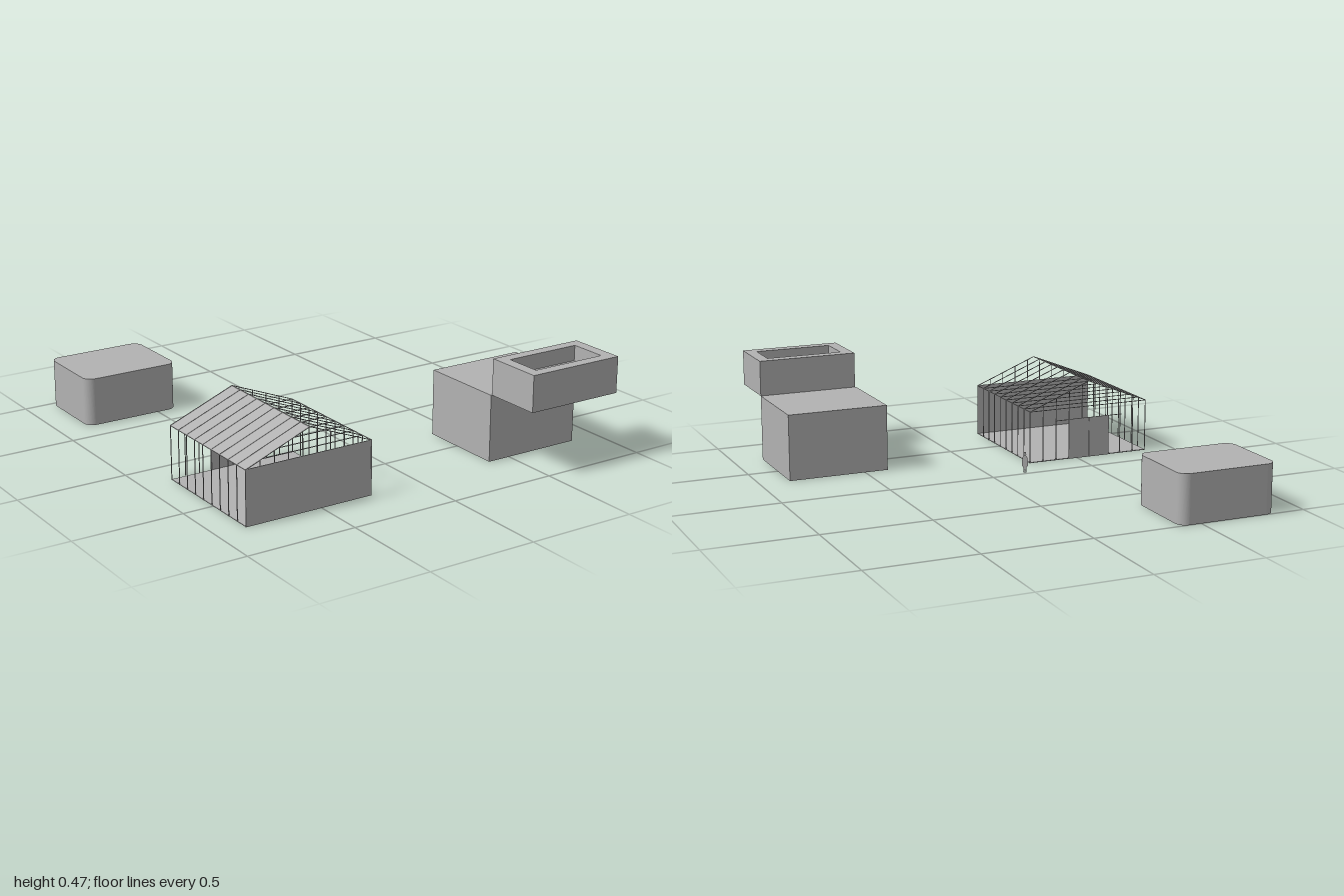
import * as THREE from 'three';

const grey = new THREE.MeshStandardMaterial({ color: 0xb2b2b2 });
const greySheet = new THREE.MeshStandardMaterial({ color: 0xb2b2b2, side: THREE.DoubleSide });
greySheet.name = 'grey sheet';
grey.name = 'grey';

function add(parent, name, geometry, material = grey) {
  const mesh = new THREE.Mesh(geometry, material);
  mesh.name = name;
  parent.add(mesh);
  return mesh;
}

// Box given by its lower and upper bounds
function block(parent, name, [x0, y0, z0], [x1, y1, z1]) {
  const mesh = add(parent, name, new THREE.BoxGeometry(x1 - x0, y1 - y0, z1 - z0));
  mesh.position.set((x0 + x1) / 2, (y0 + y1) / 2, (z0 + z1) / 2);
  return mesh;
}

// Thin square bar between two points
function bar(parent, name, a, b, t = 0.003) {
  const from = new THREE.Vector3(...a), to = new THREE.Vector3(...b);
  const mesh = add(parent, name, new THREE.BoxGeometry(t, t, from.distanceTo(to)));
  mesh.position.copy(from).add(to).multiplyScalar(0.5);
  mesh.lookAt(to);
  return mesh;
}

// Rectangle with optional corner radius, drawn on the XY plane
function rectangle(w, d, r = 0, Kind = THREE.Shape) {
  const s = new Kind(), x = w / 2, y = d / 2;
  s.moveTo(-x + r, -y).lineTo(x - r, -y);
  if (r) s.absarc(x - r, -y + r, r, -Math.PI / 2, 0);
  s.lineTo(x, y - r);
  if (r) s.absarc(x - r, y - r, r, 0, Math.PI / 2);
  s.lineTo(-x + r, y);
  if (r) s.absarc(-x + r, y - r, r, Math.PI / 2, Math.PI);
  s.lineTo(-x, -y + r);
  if (r) s.absarc(-x + r, -y + r, r, Math.PI, Math.PI * 1.5);
  return s;
}

function prism(shape, height) {
  return new THREE.ExtrudeGeometry(shape, { depth: height, bevelEnabled: false, curveSegments: 10 })
    .rotateX(-Math.PI / 2);
}

function framedHouse() {
  const house = new THREE.Group();
  house.name = 'framedHouse';
  const x0 = -0.86, x1 = -0.255, z0 = 0.155, z1 = 0.76, eave = 0.245, ridge = 0.365;
  const mid = (x0 + x1) / 2, bays = 9;
  const roofY = x => ridge - (ridge - eave) * Math.abs(x - mid) / (x1 - mid);

  block(house, 'floor', [x0, 0, z0], [x1, 0.003, z1]);
  block(house, 'frontWall', [x0, 0, z1 - 0.003], [x1, eave, z1]);

  // Covered roof slope
  const slope = new THREE.PlaneGeometry(Math.hypot(mid - x0, ridge - eave), z1 - z0).rotateX(-Math.PI / 2);
  const roof = add(house, 'roofSlope', slope, greySheet);
  roof.position.set((x0 + mid) / 2, (eave + ridge) / 2, (z0 + z1) / 2);
  roof.rotation.z = Math.atan2(ridge - eave, mid - x0);

  // Repeating frames along the depth
  for (let i = 0; i <= bays; i++) {
    const z = z0 + (z1 - z0) * i / bays;
    for (const x of [x0, x1]) {
      bar(house, 'sidePost', [x, 0, z], [x, eave, z]);
      bar(house, 'rafter', [x, eave, z], [mid, ridge, z]);
    }
    bar(house, 'tieBeam', [x0, eave, z], [x1, eave, z]);
  }

  // Studs of the two gables; the back ones reach the ground
  for (let i = 1; i < bays; i++) {
    const x = x0 + (x1 - x0) * i / bays;
    bar(house, 'frontGableStud', [x, eave, z1], [x, roofY(x), z1]);
    const behindDoor = x > -0.67 && x < -0.45;
    bar(house, 'backStud', [x, behindDoor ? 0.19 : 0, z0], [x, roofY(x), z0]);
  }

  // Plates and ridge along the depth
  for (const [x, y] of [[x0, eave], [x1, eave], [mid, ridge]]) {
    bar(house, 'longBeam', [x, y, z0], [x, y, z1]);
  }

  // Pair of back doors hanging from a rail
  block(house, 'doorLeafRight', [-0.665, 0, 0.152], [-0.561, 0.19, 0.156]);
  block(house, 'doorLeafLeft', [-0.559, 0, 0.152], [-0.455, 0.19, 0.156]);
  bar(house, 'doorRail', [-0.73, 0.19, 0.152], [-0.385, 0.19, 0.152]);
  return house;
}

function stackedBlocks() {
  const group = new THREE.Group();
  group.name = 'stackedBlocks';
  block(group, 'lowerBlock', [0.39, 0, 0.318], [0.86, 0.305, 0.73]);

  // Upper block with a sunken rectangular basin
  const base = 0.305, top = 0.47, basin = 0.4;
  block(group, 'upperBlockBase', [0.395, base, 0.73], [0.86, basin, 1]);
  const rim = rectangle(0.465, 0.27);
  rim.holes.push(rectangle(0.36, 0.17, 0, THREE.Path));
  add(group, 'upperBlockRim', prism(rim, top - basin)).position.set(0.6275, basin, 0.865);
  return group;
}

// Flat standing figure, 0.1 tall
function figure() {
  const half = [[0.003, 0], [0.008, 0.004], [0.006, 0.025], [0.014, 0.035], [0.013, 0.055],
    [0.012, 0.07], [0.009, 0.078], [0.004, 0.081], [0.006, 0.09], [0.004, 0.098], [0, 0.1]];
  const outline = [...half, ...half.slice(0, -1).reverse().map(([x, y]) => [-x, y]), [0, 0.022]];
  const shape = new THREE.Shape(outline.map(p => new THREE.Vector2(...p)));
  const mesh = new THREE.Mesh(new THREE.ShapeGeometry(shape), greySheet);
  mesh.name = 'standingFigure';
  mesh.position.set(-0.162, 0, 0.01);
  mesh.rotation.y = -0.47;
  return mesh;
}

export function createModel() {
  const model = new THREE.Group();
  model.name = 'buildingGroup';
  model.add(framedHouse(), stackedBlocks(), figure());

  // Block with rounded upright corners
  add(model, 'roundedBlock', prism(rectangle(0.46, 0.375, 0.045), 0.222)).position.set(-0.63, 0, -0.8125);
  return model;
}
